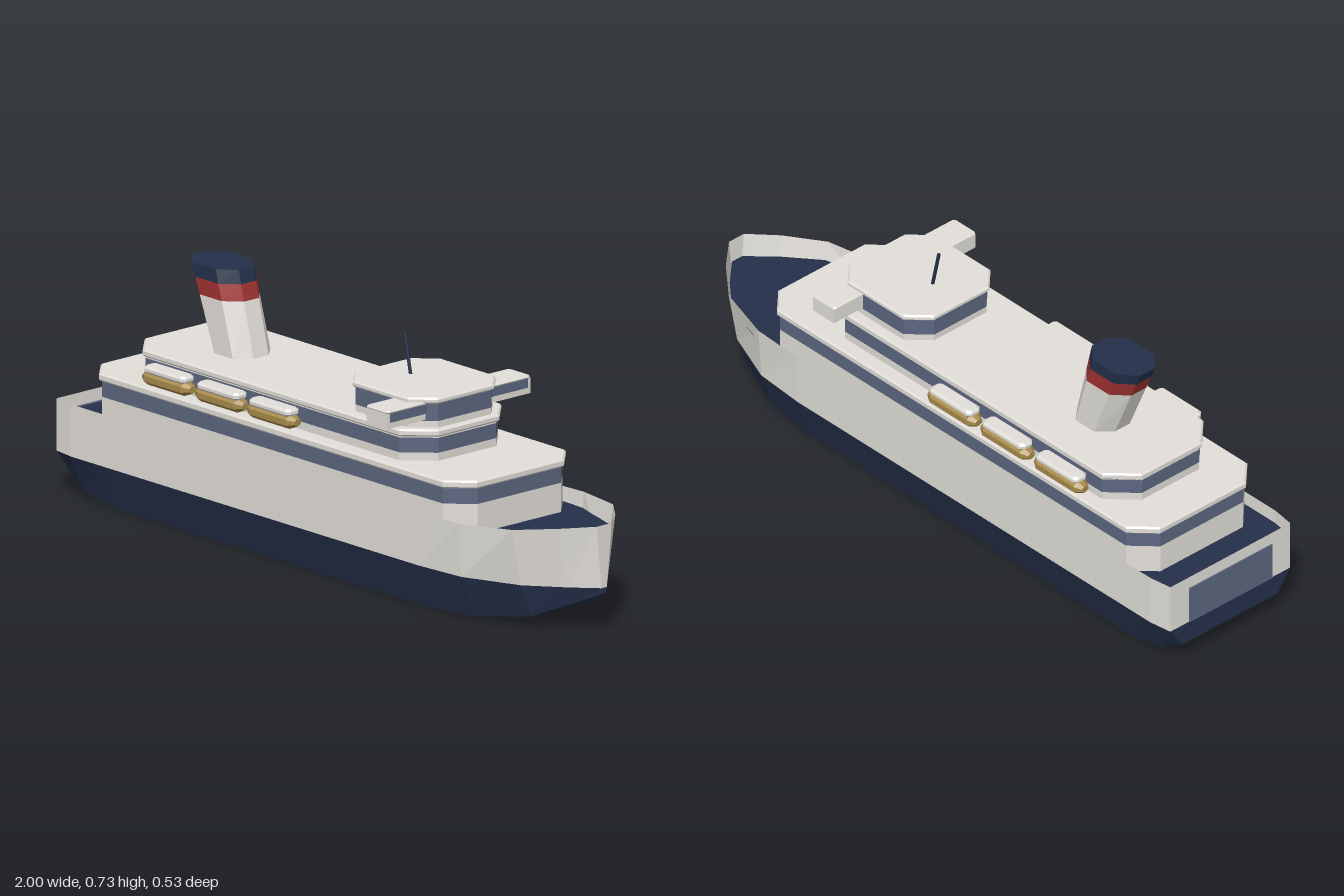
import * as THREE from 'three';

const mat = (name, color, side = THREE.FrontSide) => {
  const m = new THREE.MeshStandardMaterial({ color, side });
  m.name = name;
  return m;
};

export function createModel() {
  const white = mat('white', 0xe2dfd9, THREE.DoubleSide);
  const navy = mat('navy', 0x24304a);
  const slate = mat('slate', 0x5c6680);
  const red = mat('red', 0xa03232);
  const gold = mat('gold', 0xa88a4c);

  const ship = new THREE.Group();
  ship.name = 'ship';
  const add = (name, geo, material, parent = ship) => {
    const m = new THREE.Mesh(geo, material);
    m.name = name;
    parent.add(m);
    return m;
  };
  const group = (name, parent = ship) => {
    const g = new THREE.Group();
    g.name = name;
    parent.add(g);
    return g;
  };

  // Flat-shaded surface from a list of four-cornered faces
  const quads = (faces) => {
    const pos = faces.flatMap(([a, b, c, d]) => [a, b, c, a, c, d].flat());
    const g = new THREE.BufferGeometry();
    g.setAttribute('position', new THREE.Float32BufferAttribute(pos, 3));
    g.computeVertexNormals();
    return g;
  };
  const band = (low, high) => quads(low.map((p, i) => {
    const j = (i + 1) % low.length;
    return [p, low[j], high[j], high[i]];
  }));

  // Hull stations: x, keel y, keel half width, waterline half width, rim half width, rim y
  const stations = [
    [-1, 0.065, 0.178, 0.225, 0.225, 0.28],
    [-0.93, 0.02, 0.187, 0.235, 0.235, 0.28],
    [-0.8, 0, 0.19, 0.235, 0.235, 0.28],
    [0.5, 0, 0.19, 0.235, 0.235, 0.28],
    [0.66, 0.008, 0.178, 0.222, 0.232, 0.285],
    [0.83, 0.033, 0.12, 0.155, 0.187, 0.295],
    [0.93, 0.08, 0.055, 0.075, 0.105, 0.304],
    [1, 0.113, 0.006, 0.01, 0.028, 0.31],
  ];
  const waterY = 0.13, deckY = 0.24;
  const outline = (f) => {
    const port = stations.map(f);
    return [...port, ...port.map(([x, y, z]) => [x, y, -z]).reverse()];
  };
  const cap = (ring, up) => {
    const n = ring.length, faces = [];
    for (let i = 0; i < n / 2 - 1; i++) {
      const f = [ring[i], ring[i + 1], ring[n - 2 - i], ring[n - 1 - i]];
      faces.push(up ? f : f.reverse());
    }
    return quads(faces);
  };
  const keel = outline((s) => [s[0], s[1], s[2]]);
  const water = outline((s) => [s[0], waterY, s[3]]);
  const rim = outline((s) => [s[0], s[5], s[4]]);
  const deck = outline((s) => {
    const t = (deckY - waterY) / (s[5] - waterY);
    return [s[0] * 0.998, deckY, s[3] + (s[4] - s[3]) * t - 0.002];
  });
  const hull = group('hull');
  add('lowerHull', band(keel, water), navy, hull);
  add('hullBottom', cap(keel, false), navy, hull);
  add('upperHull', band(water, rim), white, hull);
  add('mainDeck', cap(deck, true), navy, hull);
  add('sternPanel', new THREE.BoxGeometry(0.008, 0.113, 0.31), slate, hull).position.set(-1, 0.187, 0);

  // Block with cut corners, optionally with a small bevel
  const block = (x0, x1, hz, c, y0, y1, bevel = 0) => {
    const s = new THREE.Shape([
      [x0 + c, -hz], [x1 - c, -hz], [x1, -hz + c], [x1, hz - c],
      [x1 - c, hz], [x0 + c, hz], [x0, hz - c], [x0, -hz + c],
    ].map(([x, y]) => new THREE.Vector2(x, y)));
    const g = new THREE.ExtrudeGeometry(s, {
      depth: y1 - y0 - 2 * bevel, bevelEnabled: bevel > 0, bevelThickness: bevel,
      bevelSize: bevel, bevelOffset: -bevel, bevelSegments: 1,
    });
    return g.rotateX(-Math.PI / 2).translate(0, y0 + bevel, 0);
  };

  // Superstructure tiers: wall, window band, wall, roof
  const tier = (name, x0, x1, hz, c, [y0, w0, w1, r0, y1]) => {
    const g = group(name);
    const e = 0.006;
    add('lowerWall', block(x0 + e, x1 - e, hz - e, c, y0, w0), white, g);
    add('windowBand', block(x0 + e, x1 - e, hz - e, c, w0, w1), slate, g);
    if (r0 > w1) add('upperWall', block(x0 + e, x1 - e, hz - e, c, w1, r0), white, g);
    add('roof', block(x0, x1, hz, c, r0, y1, 0.005), white, g);
  };
  tier('firstTier', -0.89, 0.657, 0.228, 0.067, [deckY, 0.324, 0.369, 0.369, 0.392]);
  tier('secondTier', -0.763, 0.444, 0.19, 0.077, [0.392, 0.415, 0.458, 0.462, 0.483]);
  tier('bridge', 0.088, 0.433, 0.164, 0.06, [0.483, 0.502, 0.552, 0.552, 0.57]);

  // Bridge wings and lifeboats, mirrored on both sides
  const boatProfile = [[0, -0.097], [0.013, -0.097], [0.027, -0.075], [0.027, 0.075], [0.013, 0.097], [0, 0.097]]
    .map(([r, y]) => new THREE.Vector2(r, y));
  const boatHull = new THREE.LatheGeometry(boatProfile, 8).toNonIndexed();
  boatHull.rotateZ(Math.PI / 2).rotateX(Math.PI / 8).scale(1, 0.8, 1);
  boatHull.computeVertexNormals();
  const boatCover = block(-0.085, 0.085, 0.025, 0.012, 0, 0.022, 0.007);
  for (const side of [1, -1]) {
    const wing = group(side > 0 ? 'frontSideWing' : 'backSideWing');
    add('wingBody', new THREE.BoxGeometry(0.084, 0.044, 0.15), white, wing).position.set(0.36, 0.527, side * 0.191);
    add('wingRoof', block(0.314, 0.406, 0.077, 0.008, 0.549, 0.557, 0.003).translate(0, 0, side * 0.19), white, wing);
    add('wingWindow', new THREE.BoxGeometry(0.006, 0.026, 0.135), slate, wing).position.set(0.402, 0.536, side * 0.187);

    for (const x of [-0.548, -0.331, -0.117]) {
      const boat = group('lifeboat');
      add('boatHull', boatHull, gold, boat);
      add('boatCover', boatCover, white, boat).position.y = 0.015;
      boat.position.set(x, 0.422, side * 0.216);
    }
  }

  // Raked funnel, widening towards the top
  const funnelRing = (y) => {
    const t = (y - 0.48) / 0.245;
    const cx = -0.485 - 0.083 * t, hx = 0.076 + 0.022 * t, hz = 0.07, k = 0.028;
    const cut = hx * 0.5;
    return [[-hx + cut, hz], [hx - cut, hz], [hx, k], [hx, -k],
      [hx - cut, -hz], [-hx + cut, -hz], [-hx, -k], [-hx, k]].map(([x, z]) => [cx + x, y, z]);
  };
  const funnel = group('funnel');
  add('funnelBase', band(funnelRing(0.48), funnelRing(0.639)), white, funnel);
  add('funnelStripe', band(funnelRing(0.639), funnelRing(0.686)), red, funnel);
  add('funnelTop', band(funnelRing(0.686), funnelRing(0.725)), navy, funnel);
  const t = funnelRing(0.725);
  add('funnelCap', quads([[t[0], t[1], t[4], t[5]], [t[1], t[2], t[3], t[4]], [t[0], t[5], t[6], t[7]]]), navy, funnel);

  // Raked mast
  const mast = add('mast', new THREE.CylinderGeometry(0.005, 0.005, 0.118, 6), navy);
  mast.position.set(0.193, 0.624, 0);
  mast.rotation.z = 0.22;

  return ship;
}
